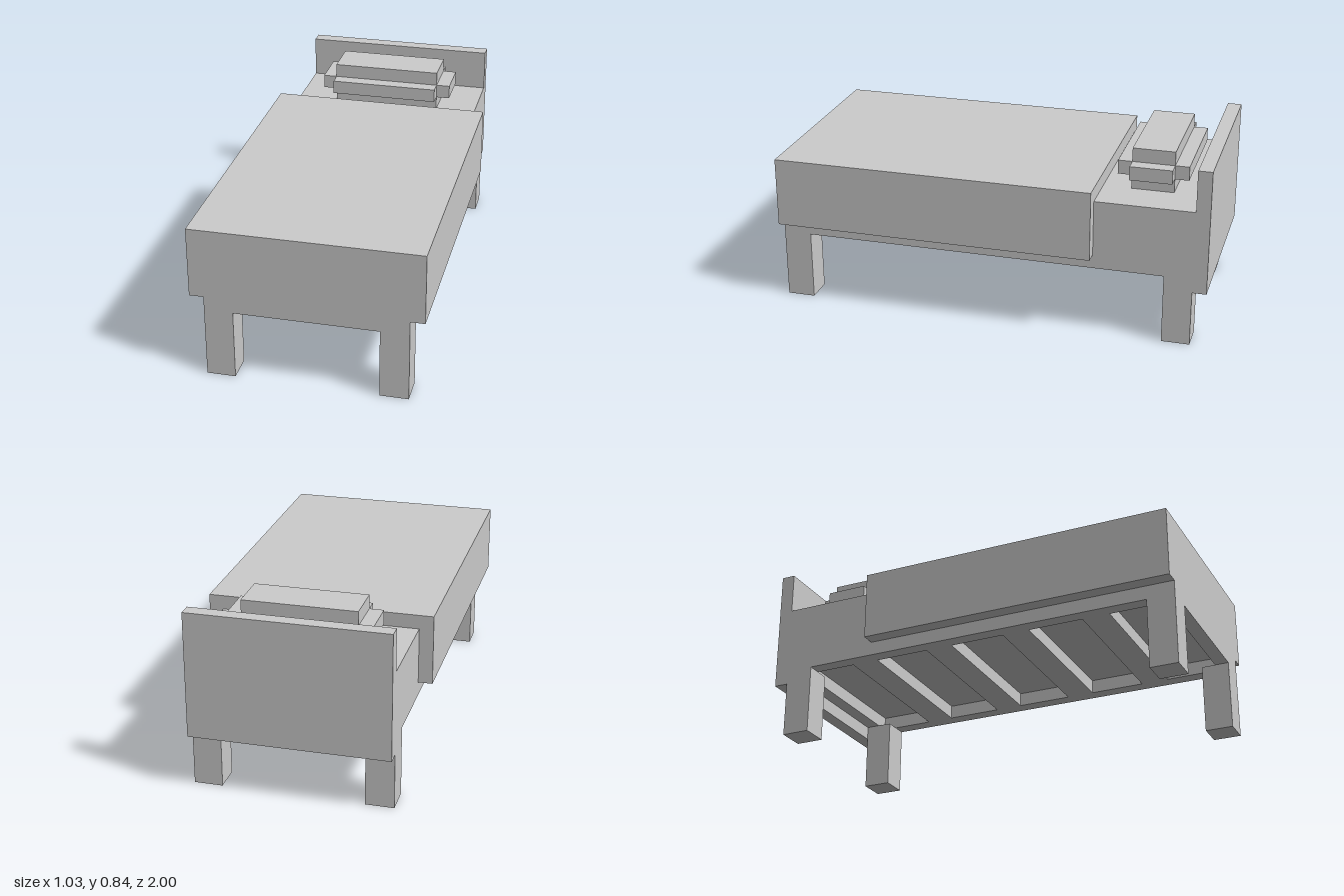
import * as THREE from 'three';

// The bed sits on a regular block grid: 31 blocks long = 2 units
const U = 2 / 31;

export function createModel() {
  const bed = new THREE.Group();
  bed.name = 'bed';
  const material = new THREE.MeshStandardMaterial({ color: 0xcccccc, flatShading: true });

  const add = (name, geometry, parent = bed) => {
    const mesh = new THREE.Mesh(geometry, material);
    mesh.name = name;
    parent.add(mesh);
  };

  // Box from its limits in blocks
  const block = (name, [x0, x1], [y0, y1], [z0, z1], parent) => add(name,
    new THREE.BoxGeometry((x1 - x0) * U, (y1 - y0) * U, (z1 - z0) * U)
      .translate((x0 + x1) / 2 * U, (y0 + y1) / 2 * U, (z0 + z1) / 2 * U), parent);

  // Outline in x and z, one block thick, ending at the given top height
  const slab = (name, shape, top, parent) => add(name,
    new THREE.ExtrudeGeometry(shape, { depth: 1, bevelEnabled: false })
      .rotateX(Math.PI / 2).translate(0, top, 0).scale(U, U, U), parent);

  const points = (list) => list.map(([x, z]) => new THREE.Vector2(x, z));
  const rect = (x, z0, z1) => points([[-x, z0], [x, z0], [x, z1], [-x, z1]]);

  // Slatted frame: five openings with cross slats between them
  const frame = new THREE.Shape(rect(7, -14.5, 15.5));
  for (let i = 0; i < 5; i++) {
    const z = -13.5 + i * 6;
    frame.holes.push(new THREE.Path(rect(6, z, z + 4).reverse()));
  }
  slab('slattedFrame', frame, 6);

  // Four square legs
  for (const [side, x] of [['Left', 5], ['Right', -7]]) {
    block('front' + side + 'Leg', [x, x + 2], [0, 5], [13.5, 15.5]);
    block('back' + side + 'Leg', [x, x + 2], [0, 5], [-14.5, -12.5]);
  }

  block('headboard', [-7, 7], [4, 13], [-15.5, -14.5]);
  block('mattress', [-7, 7], [6, 10], [-14.5, 15]);
  block('blanket', [-8, 8], [6, 11], [-7.5, 15.5]);

  // Pillow: a core with a cross-shaped middle layer
  const pillow = new THREE.Group();
  pillow.name = 'pillow';
  bed.add(pillow);
  block('pillowCore', [-4, 4], [10, 13], [-12.5, -9.5], pillow);
  slab('pillowMiddle', new THREE.Shape(points([
    [-4, -13.5], [4, -13.5], [4, -12.5], [5, -12.5], [5, -9.5], [4, -9.5],
    [4, -8.5], [-4, -8.5], [-4, -9.5], [-5, -9.5], [-5, -12.5], [-4, -12.5],
  ])), 12, pillow);

  return bed;
}
